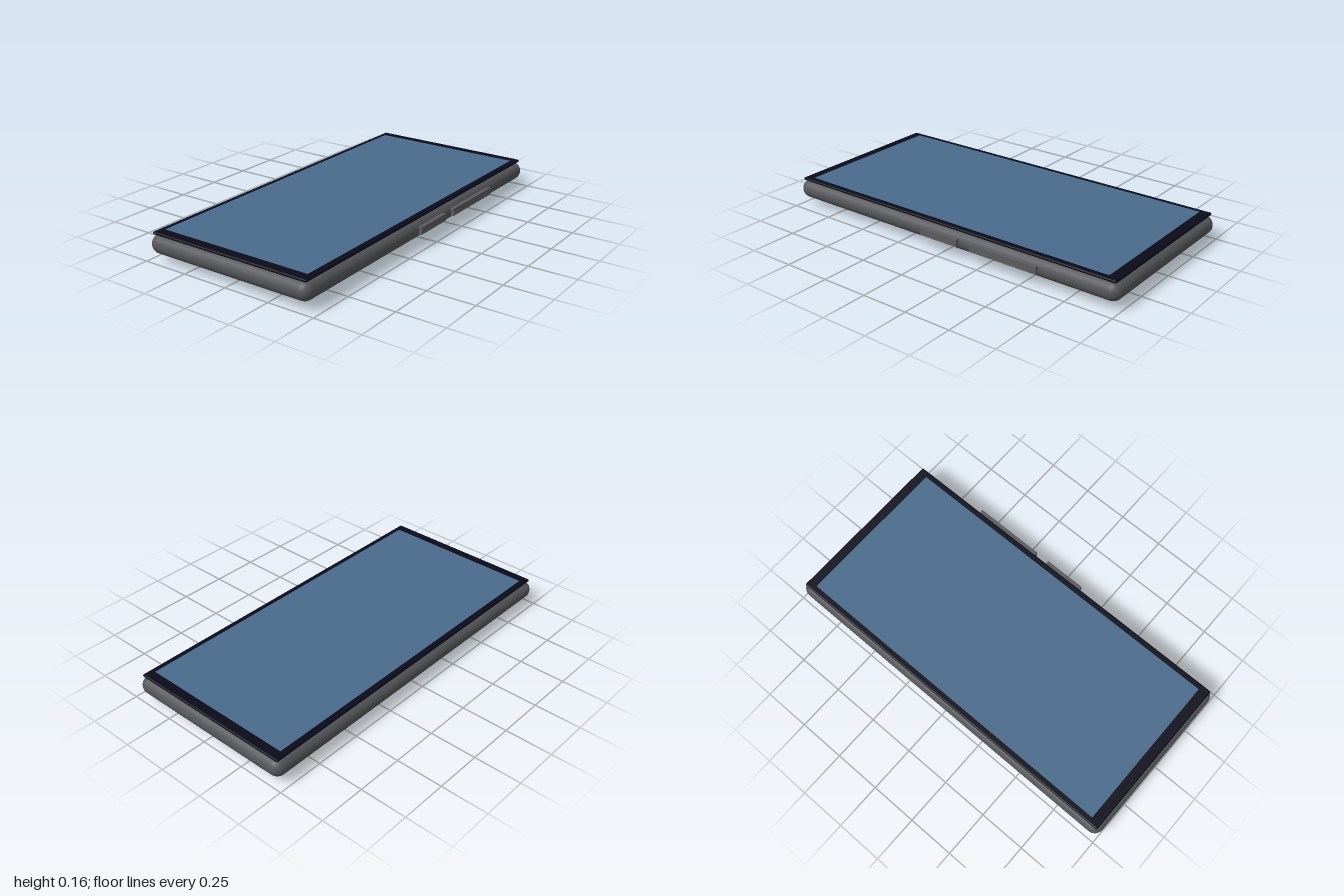
import * as THREE from 'three';
import { RoundedBoxGeometry } from 'three/addons/geometries/RoundedBoxGeometry.js';

const mat = (name, color) => {
  const m = new THREE.MeshStandardMaterial({ color });
  m.name = name;
  return m;
};

export function createModel() {
  const phone = new THREE.Group();
  phone.name = 'phone';
  const grey = mat('graphite grey', 0x55565a);
  const buttonGrey = mat('button grey', 0x5c5c60);
  const glass = mat('black glass', 0x0a0a1a);
  const blue = mat('screen blue', 0x4a6a8c);
  const lensBlack = mat('lens black', 0x070712);

  const add = (name, geometry, material, x, y, z) => {
    const mesh = new THREE.Mesh(geometry, material);
    mesh.name = name;
    mesh.position.set(x, y, z);
    phone.add(mesh);
    return mesh;
  };
  const cx = -0.009; // the side buttons shift the body off centre

  // Body with fully rounded edges
  add('body', new RoundedBoxGeometry(0.952, 0.1, 2, 5, 0.05), grey, cx, 0.09, 0);

  // Front glass and lit display
  add('frontGlass', new RoundedBoxGeometry(0.914, 0.015, 1.962, 3, 0.0074), glass, cx, 0.1465, 0);
  add('display', new THREE.BoxGeometry(0.852, 0.003, 1.855), blue, cx, 0.1535, 0);

  // Side buttons: [name, z centre, length]
  for (const [name, z, length] of [['powerButton', 0.002, 0.23], ['volumeButton', -0.385, 0.39]]) {
    add(name, new THREE.BoxGeometry(0.03, 0.038, length), buttonGrey, 0.468, 0.092, z);
  }

  // Camera plate on the back with three lenses
  add('cameraPlate', new RoundedBoxGeometry(0.386, 0.024, 0.386, 3, 0.0115), glass, -0.241, 0.03, -0.708);
  const lens = new THREE.CylinderGeometry(0.0715, 0.0715, 0.022, 32);
  for (const [x, z] of [[-0.331, -0.799], [-0.163, -0.799], [-0.331, -0.631]]) {
    add('cameraLens', lens, lensBlack, x, 0.011, z);
  }
  return phone;
}
